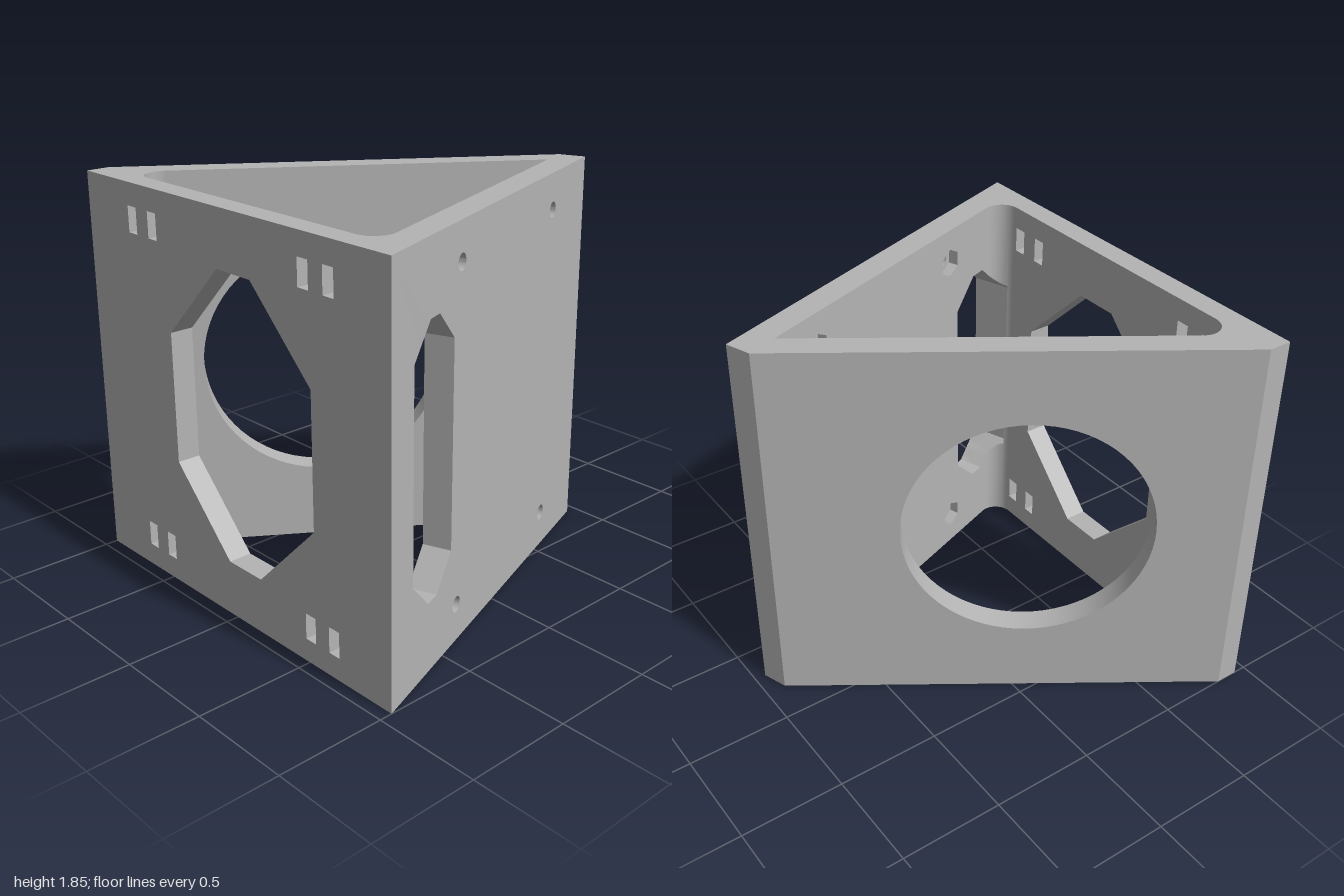
import * as THREE from 'three';
import { mergeGeometries, toCreasedNormals } from 'three/addons/utils/BufferGeometryUtils.js';

const H = 1.85, MID = H / 2, R = 0.09; // height, mid height, inner corner radius
const V2 = (x, y) => new THREE.Vector2(x, y);

// A wall runs along its outer line (x, z) and has thickness t
function wall(ox, oz, ex, ez, t) {
  const len = Math.hypot(ex - ox, ez - oz), ux = (ex - ox) / len, uz = (ez - oz) / len;
  return { ox, oz, ex, ez, t, len, ux, uz, nx: -uz, nz: ux };
}
const front = wall(-1, 0.94, 1, 0.94, 0.11);
const left = wall(1, 0.94, 0.31, -0.947, 0.13);
const right = wall(0.19, -0.905, -1, 0.83, 0.12);

// Where two walls' inner lines meet, moved in by a further r
function meet(a, b, r) {
  const ca = a.nx * a.ox + a.nz * a.oz - a.t - r, cb = b.nx * b.ox + b.nz * b.oz - b.t - r;
  const det = a.nx * b.nz - a.nz * b.nx;
  return V2((ca * b.nz - cb * a.nz) / det, (a.nx * cb - b.nx * ca) / det);
}
const along = (w, p) => (p.x - w.ox) * w.ux + (p.y - w.oz) * w.uz;
const at = (w, s, y, d) =>
  new THREE.Vector3(w.ox + w.ux * s - w.nx * d, y, w.oz + w.uz * s - w.nz * d);

// Quads between two rows of points
function ribbon(a, b) {
  const pts = [];
  for (let i = 0; i < a.length - 1; i++) pts.push(a[i], a[i + 1], b[i + 1], a[i], b[i + 1], b[i]);
  return new THREE.BufferGeometry().setFromPoints(pts);
}
function flat(outline, holes, flip) {
  const shape = new THREE.Shape(outline);
  shape.holes = holes.map((h) => new THREE.Path(h));
  const g = new THREE.ShapeGeometry(shape);
  if (flip) g.index.array.reverse();
  const out = g.toNonIndexed();
  out.deleteAttribute('uv');
  out.deleteAttribute('normal');
  return out;
}
// Flat face lying in a wall at depth d
function face(w, d, outline, holes, flip) {
  const m = new THREE.Matrix4().makeBasis(new THREE.Vector3(w.ux, 0, w.uz),
    new THREE.Vector3(0, 1, 0), new THREE.Vector3(w.nx, 0, w.nz));
  return flat(outline, holes, flip).applyMatrix4(m.setPosition(at(w, 0, 0, d)));
}
// Sides of a hole, from depth d0 to depth(point)
function reveal(w, loop, d0, depth) {
  const l = [...loop, loop[0]];
  return ribbon(l.map((p) => at(w, p.x, p.y, d0)), l.map((p) => at(w, p.x, p.y, depth(p))));
}
const rect = (s0, y0, s1, y1) => [V2(s0, y0), V2(s1, y0), V2(s1, y1), V2(s0, y1)];
function ngon(s, y, r, n) {
  return Array.from({ length: n }, (_, i) => {
    const a = Math.PI / 2 + (i / n) * Math.PI * 2;
    return V2(s + r * Math.cos(a), y + r * Math.sin(a));
  });
}

export function createModel() {
  const group = new THREE.Group();
  const grey = new THREE.MeshStandardMaterial({ color: 0xb4b4b4, side: THREE.DoubleSide });
  grey.name = 'grey';
  const add = (name, geos) => {
    const mesh = new THREE.Mesh(toCreasedNormals(mergeGeometries(geos), 0.5), grey);
    mesh.name = name;
    group.add(mesh);
  };

  const apex = meet(left, right, 0), cl = meet(front, left, R), cr = meet(right, front, R);
  const arc = (c, from, to, n) => Array.from({ length: n + 1 }, (_, i) => {
    const a = from + (to - from) * i / n;
    return V2(c.x + R * Math.cos(a), c.y + R * Math.sin(a));
  });
  const N = 11, CUT = 8;
  const leftArc = arc(cl, Math.atan2(left.nz, left.nx), Math.PI / 2, N);
  const rightArc = arc(cr, Math.PI / 2, Math.atan2(right.nz, right.nx) + Math.PI * 2, N);

  // Front wall: octagonal window and eight strap slots
  const window8 = [[-0.04, 0.26], [0.18, 0.26], [0.545, 0.62], [0.545, 1.23],
    [0.18, 1.59], [-0.04, 1.59], [-0.4, 1.23], [-0.4, 0.62]].map(([x, y]) => V2(x + 1, y));
  const frontHoles = [window8];
  for (const x of [-0.68, -0.53, 0.48, 0.627])
    for (const y of [0.105, 1.625]) frontHoles.push(rect(x + 1, y, x + 1.063, y + 0.12));
  add('frontWall', [
    face(front, 0, rect(0, 0, front.len, H), frontHoles),
    face(front, front.t, rect(along(front, cr), 0, along(front, cl), H), frontHoles, true),
    ...frontHoles.map((h) => reveal(front, h, 0, () => front.t)),
  ]);

  // Right wall: large round opening
  const mid = along(right, V2(-0.36, 0.114));
  const round = [ngon(mid, MID, 0.57, 72)];
  add('rightWall', [
    face(right, 0, rect(0, 0, right.len, H), round),
    face(right, right.t, rect(along(right, apex), 0, along(right, cr), H), round, true),
    reveal(right, round[0], 0, () => right.t),
  ]);

  // Left wall: tall chamfered slot that also cuts the inner corner fillet
  const sc = along(left, cl), sArc = leftArc.map((p) => along(left, p));
  const S0 = 0.186, S1 = 0.325, S2 = 0.405, S3 = 0.543;
  const half = (s) => Math.min(0.605, 0.465 + s - S0, 0.465 + S3 - s);
  const depth = (p) => {
    const k = sc - Math.max(p.x, sArc[CUT]);
    return left.t + (k > 0 ? R - Math.sqrt(R * R - k * k) : 0);
  };
  const edge = (list, sign) => list.map((s) => V2(s, MID + sign * half(s)));
  const cols = [S0, ...sArc.slice(0, CUT + 1).reverse(), S1, S2, S3];
  const slot = [...edge(cols, -1), ...edge([...cols].reverse(), 1)];
  const notch = [sc, S1, S2, S3];
  const sa = along(left, apex);
  const innerOutline = [V2(sc, 0), V2(sa, 0), V2(sa, H), V2(sc, H),
    ...edge(notch, 1), ...edge([...notch].reverse(), -1)];

  // Screw holes with hexagonal nut pockets on the inside
  const spots = [];
  for (const z of [0.372, -0.56]) for (const y of [0.175, 1.68]) spots.push([(0.94 - z) / 0.939, y]);
  const bores = spots.map(([s, y]) => ngon(s, y, 0.037, 24));
  const nuts = spots.map(([s, y]) => ngon(s, y, 0.07, 6));
  const floor = left.t - 0.05;
  const dEnd = depth(V2(S0, 0));
  add('leftWall', [
    face(left, 0, rect(0, 0, left.len, H), [slot, ...bores]),
    face(left, left.t, innerOutline, nuts, true),
    reveal(left, slot, 0, depth),
    face(left, dEnd, [...edge([S0, sArc[CUT]], -1), ...edge([sArc[CUT], S0], 1)], [], true),
    ...bores.map((b) => reveal(left, b, 0, () => floor)),
    ...nuts.map((n) => reveal(left, n, floor, () => left.t)),
    ...nuts.map((n, i) => face(left, floor, n, [bores[i]], true)),
  ]);

  // Rounded inner corners
  const lift = (pts, y) => pts.map((p, i) => new THREE.Vector3(p.x, typeof y === 'number' ? y : y(i), p.y));
  const upright = (pts) => ribbon(lift(pts, 0), lift(pts, H));
  const cut = leftArc.slice(0, CUT + 1);
  add('leftInnerCorner', [
    ribbon(lift(cut, 0), lift(cut, (i) => MID - half(sArc[i]))),
    ribbon(lift(cut, (i) => MID + half(sArc[i])), lift(cut, H)),
    upright(leftArc.slice(CUT)),
  ]);
  add('rightInnerCorner', [upright(rightArc)]);

  // Narrow outer end faces
  add('backEdge', [upright([V2(left.ex, left.ez), V2(right.ox, right.oz)])]);
  add('rightEdge', [upright([V2(right.ex, right.ez), V2(front.ox, front.oz)])]);

  // Top and bottom rims
  const outer = [front, left, right].flatMap((w) => [V2(w.ox, w.oz), V2(w.ex, w.ez)]);
  outer.splice(2, 1); // shared front left corner
  const inner = [...leftArc, ...rightArc, apex];
  for (const [name, y, flip] of [['bottomRim', 0, false], ['topRim', H, true]])
    add(name, [flat(outer, [inner], flip).rotateX(Math.PI / 2).translate(0, y, 0)]);

  return group;
}
